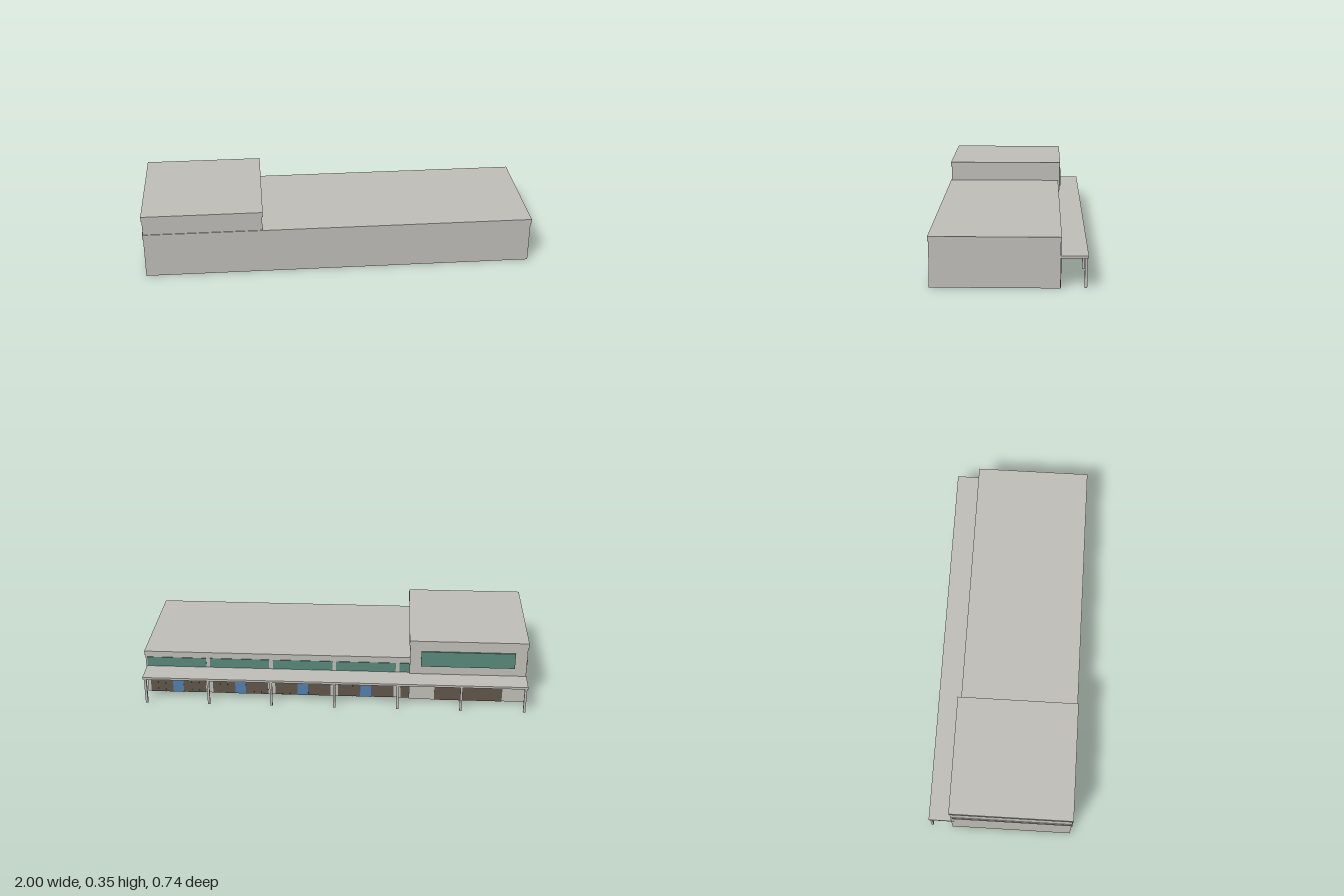
import * as THREE from 'three';

export function createModel() {
  const root = new THREE.Group();
  root.name = 'commercialBuilding';

  const make = (name, color) => {
    const m = new THREE.MeshStandardMaterial({ color });
    m.name = name;
    return m;
  };
  const concrete = make('concrete', 0xc2c0ba);
  const glass = make('greenGlass', 0x598a7b);
  const shopBrown = make('shopfrontBrown', 0x62584d);
  const doorBlue = make('doorBlue', 0x5580b0);

  // Box given by its minimum and maximum on each axis
  const block = (name, mat, x0, x1, y0, y1, z0, z1, parent = root) => {
    const mesh = new THREE.Mesh(new THREE.BoxGeometry(x1 - x0, y1 - y0, z1 - z0), mat);
    mesh.position.set((x0 + x1) / 2, (y0 + y1) / 2, (z0 + z1) / 2);
    mesh.name = name;
    parent.add(mesh);
    return mesh;
  };

  // Long low hall with its roof band, which also wraps round the tower
  block('hallWalls', concrete, -0.392, 0.996, 0, 0.219, -0.24, 0.366);
  block('hallRoofBand', concrete, -1, 1, 0.218, 0.242, -0.244, 0.37);

  // Taller end block
  block('towerWalls', concrete, -0.996, -0.392, 0, 0.322, -0.252, 0.366);
  block('towerRoofBand', concrete, -1, -0.388, 0.321, 0.346, -0.256, 0.37);
  block('towerWindow', glass, -0.935, -0.45, 0.2, 0.286, -0.259, -0.252);
  block('towerShutter', shopBrown, -0.88, -0.525, 0, 0.13, -0.2545, -0.252);

  // Rear bays: clerestory window above, shopfront and door below
  const pitch = 0.332;
  const wall = -0.24;
  for (let i = 0; i < 5; i++) {
    const bay = new THREE.Group();
    bay.name = 'bay' + (i + 1);
    root.add(bay);
    const c = 0.832 - i * pitch;
    const clip = (v) => Math.max(v, -0.392);
    block('clerestoryWindow', glass, clip(c - 0.156), c + 0.156, 0.155, 0.207, wall - 0.003, wall, bay);
    block('shopfront', shopBrown, clip(c - 0.147), c + 0.147, 0, 0.13, wall - 0.0015, wall, bay);
    if (i < 4) block('door', doorBlue, c - 0.028, c + 0.028, 0, 0.105, wall - 0.003, wall, bay);
    // Slim mullions dividing the shopfront
    for (const d of [-0.11, -0.07, 0.07, 0.11]) {
      const x = c + d;
      if (x < -0.385) continue;
      block('mullion', shopBrown, x - 0.002, x + 0.002, 0, 0.13, wall - 0.003, wall, bay);
    }
  }

  // Rear canopy on seven square posts
  block('canopy', concrete, -0.998, 0.992, 0.141, 0.153, -0.368, -0.238);
  for (let i = 0; i < 7; i++) {
    const x = 0.98 - i * 0.328;
    block('canopyPost', concrete, x - 0.006, x + 0.006, 0, 0.141, -0.362, -0.35);
  }

  return root;
}
